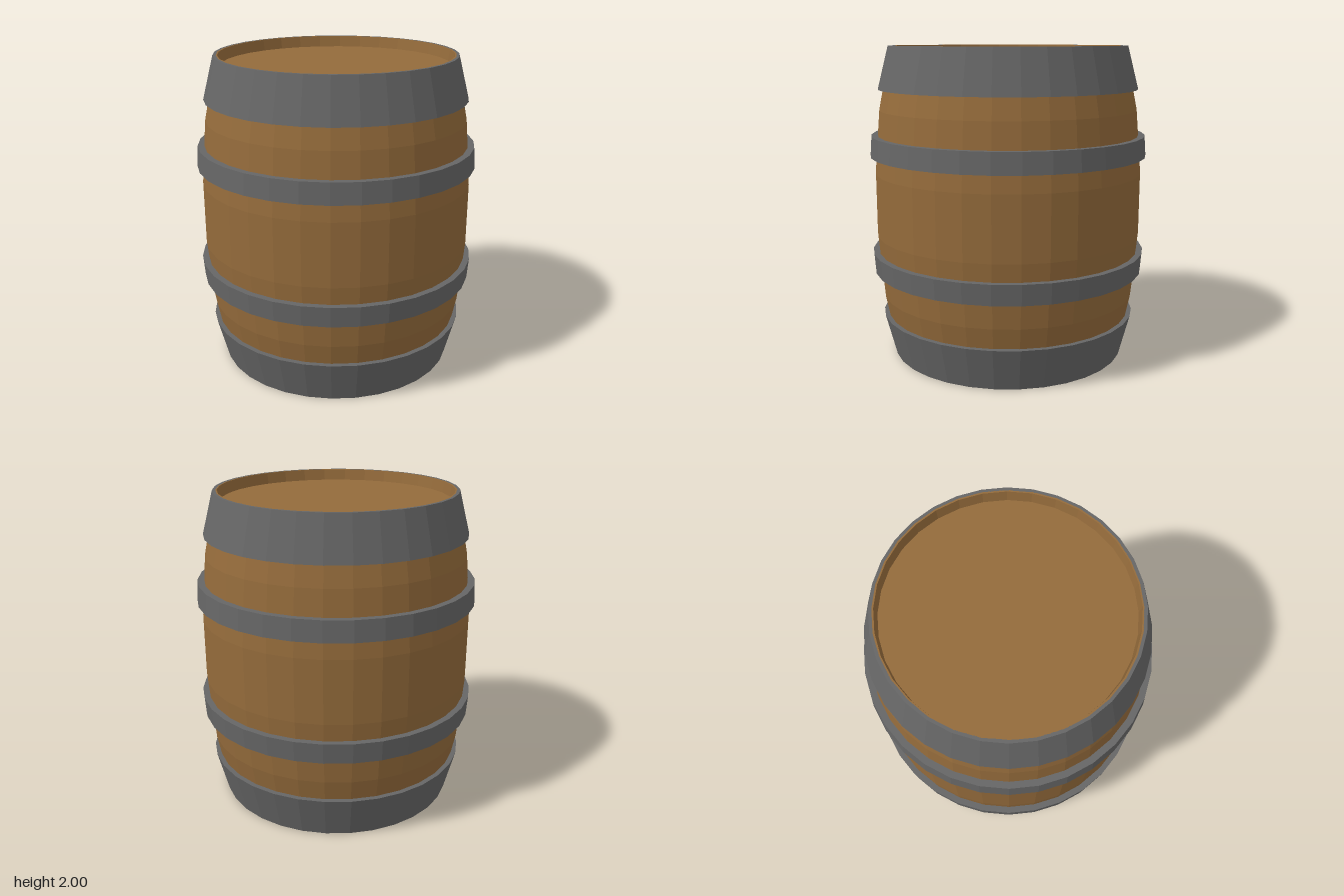
import * as THREE from 'three';

const SIDES = 32;
const wood = new THREE.MeshStandardMaterial({ color: 0x946b3b, flatShading: true });
const iron = new THREE.MeshStandardMaterial({ color: 0x666666, flatShading: true });

// Turns a [radius, height] profile, listed upwards along the outside
function turned(name, profile, material) {
  const points = profile.map(([r, y]) => new THREE.Vector2(r, y));
  const mesh = new THREE.Mesh(new THREE.LatheGeometry(points, SIDES), material);
  mesh.name = name;
  return mesh;
}

// Closed metal band with a rectangular, slanted section
function hoop(name, y0, y1, outer0, outer1, inner0, inner1) {
  return turned(name, [
    [inner0, y0], [outer0, y0], [outer1, y1], [inner1, y1], [inner0, y0],
  ], iron);
}

export function createModel() {
  const barrel = new THREE.Group();
  barrel.name = 'barrel';

  // Bulging staves with a flat base and a raised rim
  barrel.add(turned('staves', [
    [0, 0], [0.745, 0], [0.825, 0.4], [0.86, 0.8],
    [0.86, 1.2], [0.825, 1.6], [0.742, 2], [0.732, 2], [0.72, 1.93],
  ], wood));

  // Recessed lid
  barrel.add(turned('lid', [[0.72, 1.93], [0, 1.93]], wood));

  // Wide end hoops
  barrel.add(hoop('bottomHoop', 0, 0.27, 0.76, 0.83, 0.74, 0.79));
  barrel.add(hoop('topHoop', 1.73, 2, 0.83, 0.76, 0.79, 0.74));

  // Narrow belly hoops
  barrel.add(hoop('lowerBellyHoop', 0.56, 0.69, 0.88, 0.89, 0.82, 0.83));
  barrel.add(hoop('upperBellyHoop', 1.31, 1.44, 0.89, 0.88, 0.83, 0.82));

  return barrel;
}
